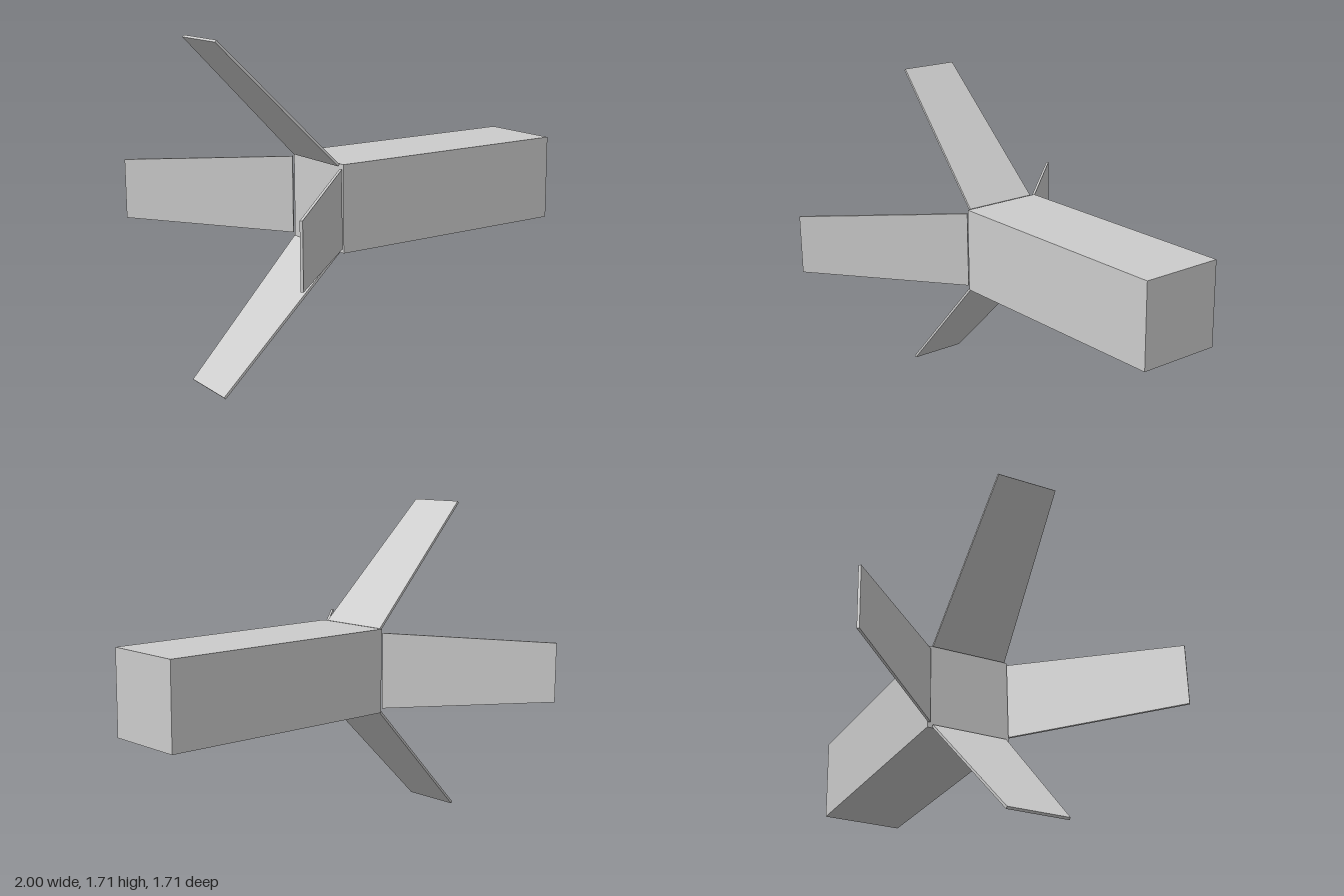
import * as THREE from 'three';

const CENTER_Y = 0.857;

export function createModel() {
  const group = new THREE.Group();
  const grey = new THREE.MeshStandardMaterial({ color: 0xcccccc });
  grey.name = 'light grey';

  // Long square body
  const body = new THREE.Mesh(new THREE.BoxGeometry(1.348, 0.445, 0.445), grey);
  body.name = 'body';
  body.position.set(0.326, CENTER_Y, 0);
  group.add(body);

  // Tapered thin fin, leaning back and outward at 45 degrees
  const length = 0.898, root = 0.2, tip = 0.156, thickness = 0.013;
  const outline = new THREE.Shape([
    new THREE.Vector2(0, -root),
    new THREE.Vector2(length, -tip),
    new THREE.Vector2(length, tip),
    new THREE.Vector2(0, root),
  ]);
  const finGeometry = new THREE.ExtrudeGeometry(outline, { depth: thickness, bevelEnabled: false })
    .translate(0, 0, -thickness / 2)
    .rotateX(Math.PI / 2)
    .rotateZ(Math.PI * 0.75)
    .translate(-0.36, 0.217, 0);

  // Four fins around the body axis
  ['topFin', 'frontFin', 'bottomFin', 'backFin'].forEach((name, i) => {
    const fin = new THREE.Mesh(finGeometry, grey);
    fin.name = name;
    fin.position.y = CENTER_Y;
    fin.rotation.x = i * Math.PI / 2;
    group.add(fin);
  });

  return group;
}
